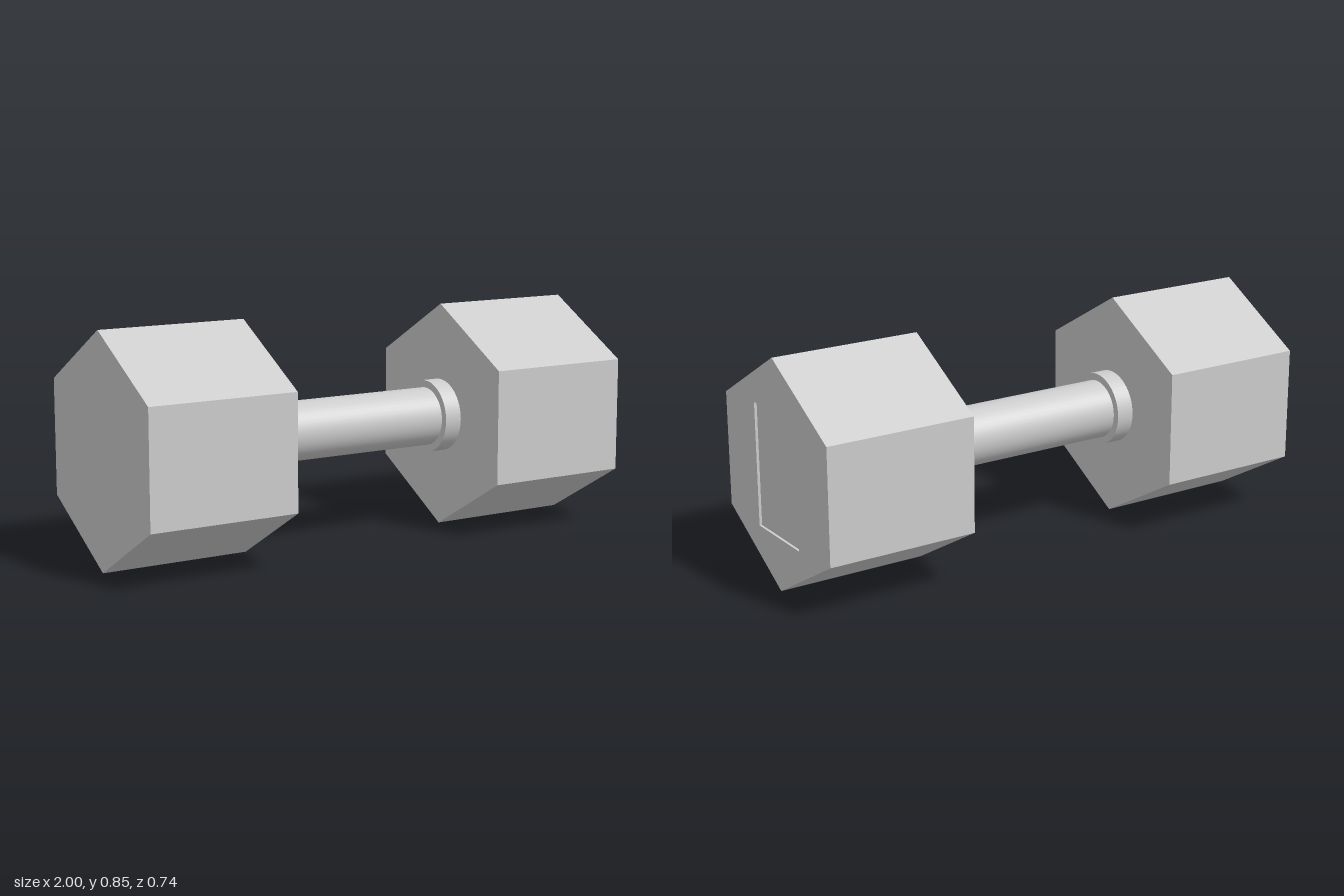
import * as THREE from 'three';

const CENTER_Y = 0.425;   // height of the bar axis
const HEAD_IN = 0.43, HEAD_OUT = 1, HEX_R = 0.425;
const RECESS_DEPTH = 0.01;

export function createModel() {
  const model = new THREE.Group();
  const material = new THREE.MeshStandardMaterial({ color: 0xcccccc });

  const add = (name, geometry, parent = model) => {
    const mesh = new THREE.Mesh(geometry, material);
    mesh.name = name;
    parent.add(mesh);
    return mesh;
  };

  // Hexagon with a corner at the top
  const hexagon = () => new THREE.Shape(Array.from({ length: 6 }, (_, i) => {
    const a = Math.PI / 2 + i * Math.PI / 3;
    return new THREE.Vector2(Math.cos(a) * HEX_R, Math.sin(a) * HEX_R);
  }));

  // Prism running along x from x0 to x1
  const prism = (shape, x0, x1) =>
    new THREE.ExtrudeGeometry(shape, { depth: x1 - x0, bevelEnabled: false })
      .rotateY(Math.PI / 2).translate(x0, CENTER_Y, 0);

  // Round bar along x
  const rod = (radius, x0, x1) =>
    new THREE.CylinderGeometry(radius, radius, x1 - x0, 48)
      .rotateZ(Math.PI / 2).translate((x0 + x1) / 2, CENTER_Y, 0);

  // Right head: plain end
  add('rightHead', prism(hexagon(), -HEAD_OUT, -HEAD_IN));

  // Left head: solid body plus a thin end plate with a rectangular recess
  const leftHead = new THREE.Group();
  leftHead.name = 'leftHead';
  model.add(leftHead);
  add('headBody', prism(hexagon(), HEAD_IN, HEAD_OUT - RECESS_DEPTH), leftHead);
  const plate = hexagon();
  const w = 0.148, bottom = 0.198 - CENTER_Y, top = 0.655 - CENTER_Y;
  plate.holes.push(new THREE.Path([
    new THREE.Vector2(-w, bottom), new THREE.Vector2(-w, top),
    new THREE.Vector2(w, top), new THREE.Vector2(w, bottom),
  ]));
  add('recessedEndPlate', prism(plate, HEAD_OUT - RECESS_DEPTH, HEAD_OUT), leftHead);

  // Handle and its two collars
  add('handle', rod(0.11, -HEAD_IN, HEAD_IN));
  add('leftCollar', rod(0.137, 0.362, HEAD_IN));
  add('rightCollar', rod(0.137, -HEAD_IN, -0.362));

  return model;
}
